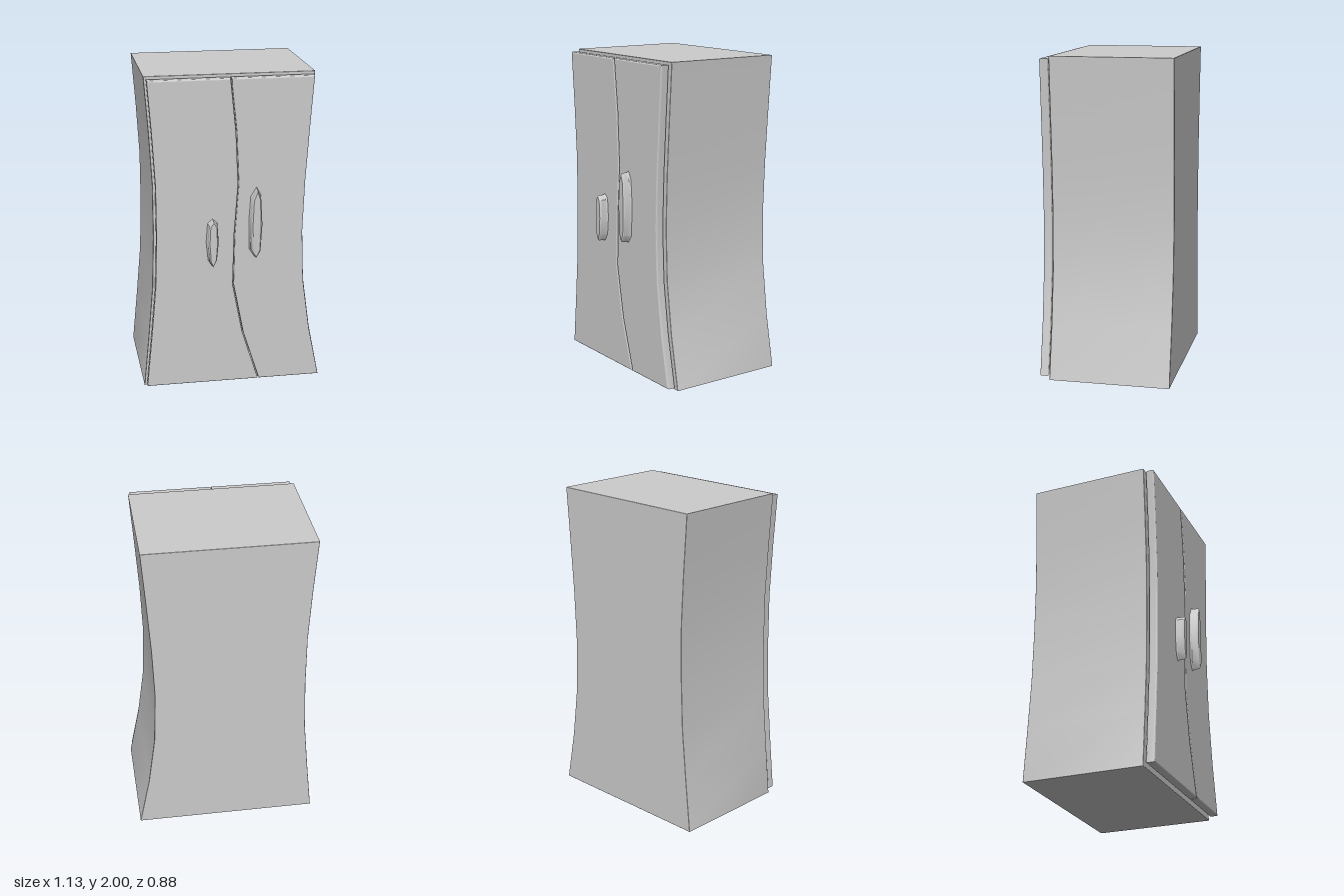
import * as THREE from 'three';
import { toCreasedNormals } from 'three/addons/utils/BufferGeometryUtils.js';

const material = new THREE.MeshStandardMaterial({ color: 0xcccccc });

// x of the left side, right side and door split at evenly spaced heights
const LEFT = [-0.568, -0.535, -0.505, -0.494, -0.494, -0.512, -0.536];
const RIGHT = [0.567, 0.501, 0.456, 0.444, 0.456, 0.478, 0.502];
const SPLIT = [0.16, 0.057, -0.005, 0.003, 0.027, 0.013, -0.02];

// Upright panel between two wavy edges, from z0 to z1, with bevelled rims
function panel(name, a, b, y0, y1, z0, z1, bevel) {
  const height = (i) => y0 + ((y1 - y0) * i) / 6;
  const points = [
    ...b.map((x, i) => new THREE.Vector2(x, height(i))),
    ...a.map((x, i) => new THREE.Vector2(x, height(i))).reverse(),
  ];
  const geometry = new THREE.ExtrudeGeometry(new THREE.Shape(points), {
    depth: z1 - z0 - 2 * bevel,
    bevelThickness: bevel,
    bevelSize: bevel,
    bevelOffset: -bevel,
    bevelSegments: 3,
  });
  geometry.translate(0, 0, z0 + bevel);
  const mesh = new THREE.Mesh(toCreasedNormals(geometry, 0.25), material);
  mesh.name = name;
  return mesh;
}

// Handle lofted from an outline: flared foot, straight grip, rounded front
function handle(name, outline) {
  const n = outline.length;
  const cx = outline.reduce((s, p) => s + p[0], 0) / n;
  const cy = outline.reduce((s, p) => s + p[1], 0) / n;
  const rings = [[0.378, 0], [0.388, 0.002], [0.394, 0.007], [0.425, 0.008], [0.434, 0.011], [0.439, 0.017]];
  const positions = [];
  const index = [];
  for (const [z, inset] of rings) {
    for (const [x, y] of outline) {
      positions.push(cx + (x - cx) * (1 - inset / 0.04), cy + (y - cy) * (1 - inset / 0.2), z);
    }
  }
  for (let r = 0; r < rings.length - 1; r++) {
    for (let i = 0; i < n; i++) {
      const a = r * n + i;
      const b = r * n + ((i + 1) % n);
      index.push(a, b, b + n, a, b + n, a + n);
    }
  }
  // front cap
  const centre = rings.length * n;
  positions.push(cx, cy, 0.44);
  for (let i = 0; i < n; i++) index.push(centre - n + i, centre - n + ((i + 1) % n), centre);

  const geometry = new THREE.BufferGeometry();
  geometry.setAttribute('position', new THREE.Float32BufferAttribute(positions, 3));
  geometry.setIndex(index);
  const mesh = new THREE.Mesh(toCreasedNormals(geometry, 0.6), material);
  mesh.name = name;
  return mesh;
}

export function createModel() {
  const group = new THREE.Group();
  group.name = 'wardrobe';
  const shift = (edge, d) => edge.map((x) => x + d);

  group.add(panel('cabinetBody', LEFT, RIGHT, 0, 2, -0.437, 0.32, 0.003));

  // Doors follow the waisted sides and meet along a crooked split
  group.add(panel('rightDoor', shift(LEFT, 0.014), shift(SPLIT, -0.003), 0.02, 1.985, 0.33, 0.384, 0.009));
  group.add(panel('leftDoor', shift(SPLIT, 0.003), shift(RIGHT, -0.014), 0.02, 1.985, 0.33, 0.384, 0.009));

  // Uneven faceted handles, outlines counter-clockwise
  group.add(handle('rightHandle', [
    [-0.135, 1.12], [-0.168, 1.09], [-0.177, 0.97], [-0.165, 0.85],
    [-0.14, 0.812], [-0.11, 0.86], [-0.097, 0.97], [-0.105, 1.09],
  ]));
  group.add(handle('leftHandle', [
    [0.137, 1.31], [0.1, 1.25], [0.089, 1.1], [0.092, 0.91],
    [0.128, 0.855], [0.163, 0.9], [0.176, 1.08], [0.164, 1.26],
  ]));
  return group;
}
